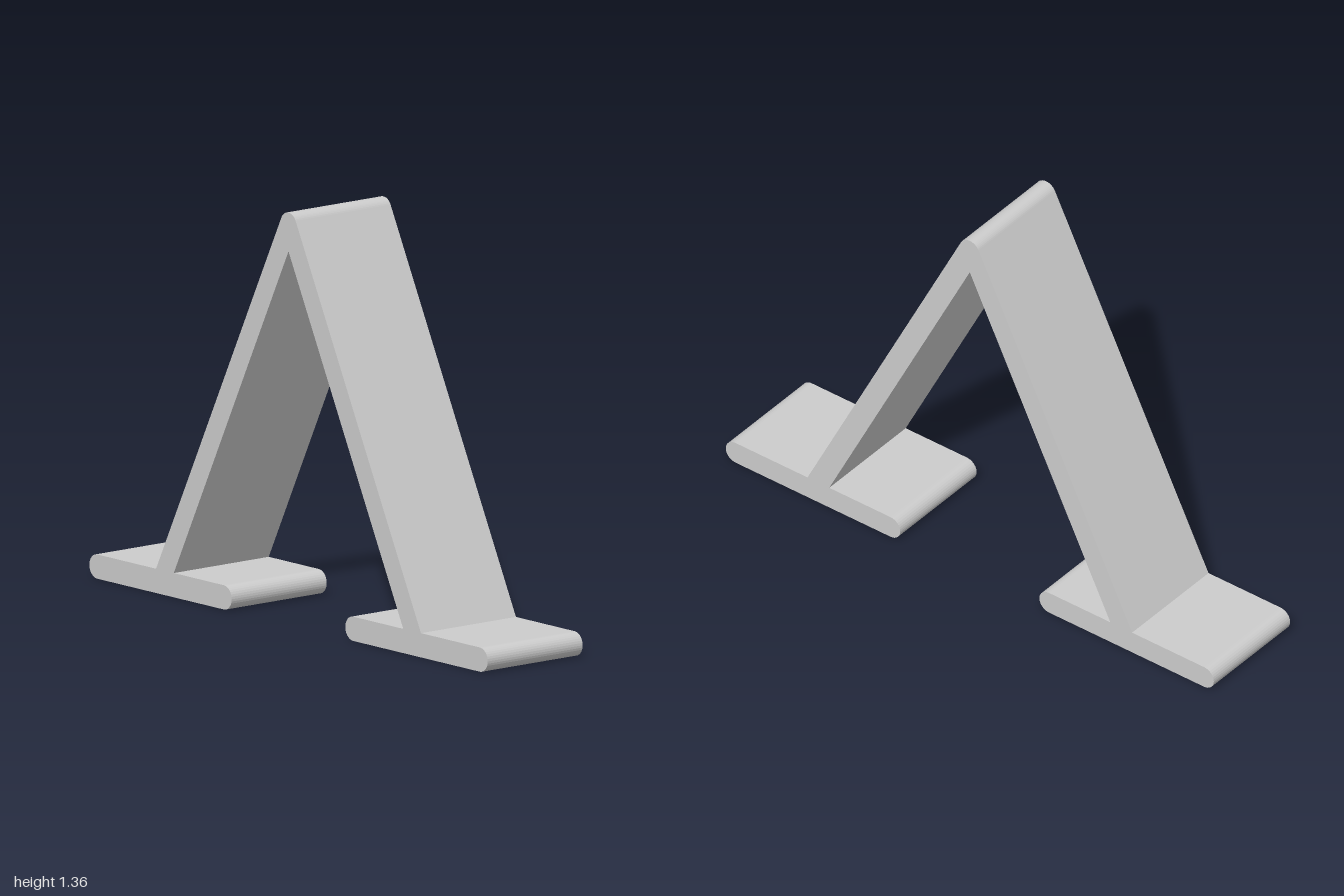
import * as THREE from 'three';

const R = 0.04;        // half the plate thickness, also the edge rounding
const DEPTH = 0.4;
const APEX_Y = 1.32;   // centre of the rounded ridge
const FOOT_IN = 0.325, FOOT_OUT = 0.96; // centres of the rounded foot ends
const LEG_IN = 0.576, LEG_OUT = 0.665;  // leg where it meets the foot

// Continuous outline of the sloping legs and their flat feet
function frameOutline() {
  const q = Math.PI / 2, tilt = Math.atan(0.5), top = 2 * R;
  const s = new THREE.Shape();
  s.moveTo(0, 1.232);
  // left leg and foot
  s.lineTo(LEG_IN, top);
  s.lineTo(FOOT_IN, top);
  s.absarc(FOOT_IN, R, R, q, 3 * q, false);
  s.absarc(FOOT_OUT, R, R, -q, q, false);
  s.lineTo(LEG_OUT, top);
  // rounded ridge
  s.absarc(0, APEX_Y, R, tilt, Math.PI - tilt, false);
  // right leg and foot
  s.lineTo(-LEG_OUT, top);
  s.absarc(-FOOT_OUT, R, R, q, 3 * q, false);
  s.absarc(-FOOT_IN, R, R, -q, q, false);
  s.lineTo(-LEG_IN, top);
  s.closePath();
  return s;
}

export function createModel() {
  const group = new THREE.Group();
  group.name = 'aFrameStand';
  const grey = new THREE.MeshStandardMaterial({ color: 0xcccccc });
  grey.name = 'lightGrey';

  const geometry = new THREE.ExtrudeGeometry(frameOutline(), {
    depth: DEPTH, bevelEnabled: false, curveSegments: 8,
  });
  geometry.translate(0, 0, -DEPTH / 2);
  const frame = new THREE.Mesh(geometry, grey);
  frame.name = 'legsAndFeet';
  group.add(frame);
  return group;
}
